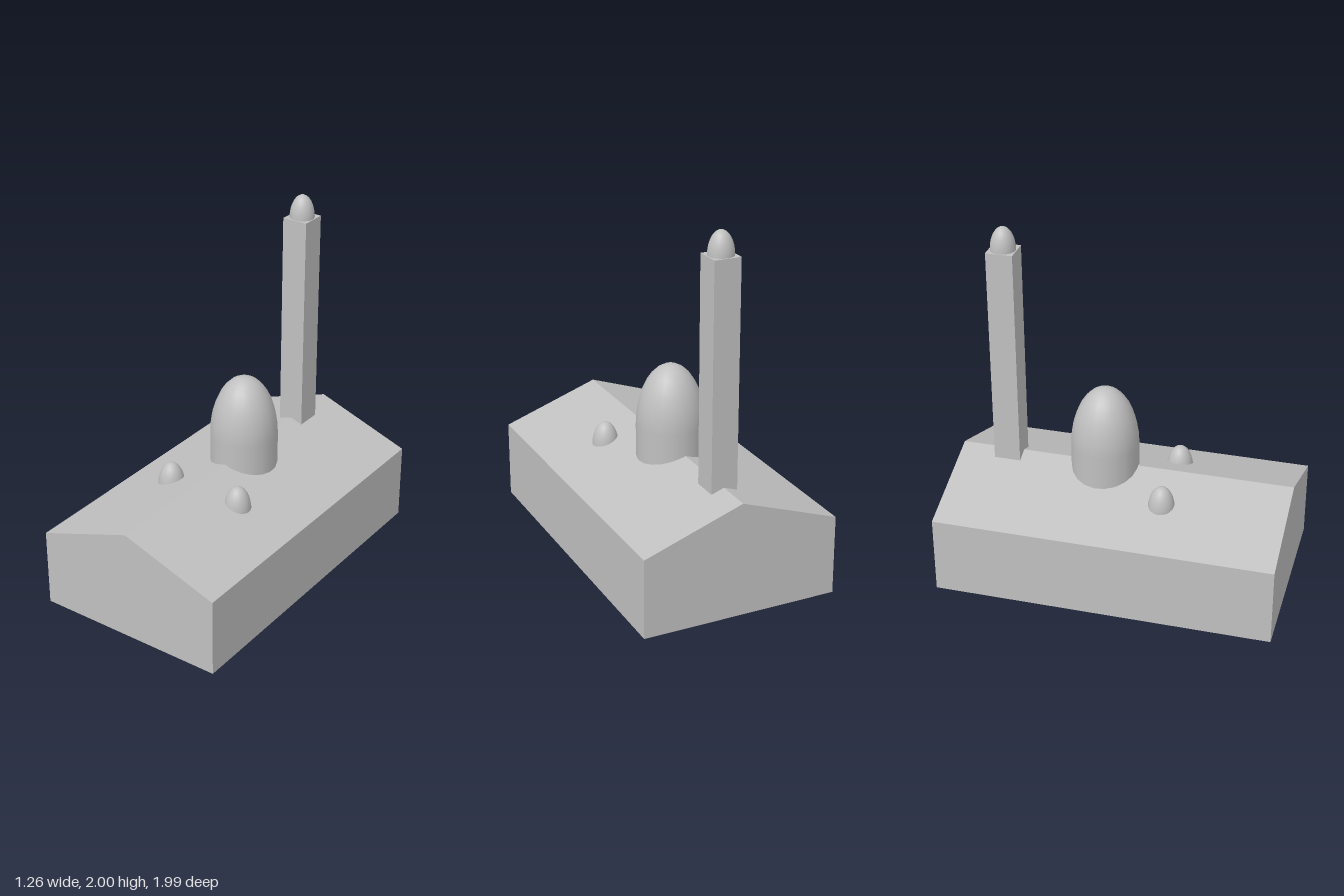
import * as THREE from 'three';

const stone = new THREE.MeshStandardMaterial({ color: 0xc0c0c0, side: THREE.DoubleSide });
stone.name = 'pale grey stone';

const TURN = 0.078;   // the whole building is turned a little about y
const W = 0.555, L = 0.953, EAVE = 0.445, RIDGE = 0.64;
const SEGMENTS = 20;

function add(parent, name, geometry, x = 0, y = 0, z = 0) {
  const mesh = new THREE.Mesh(geometry, stone);
  mesh.name = name;
  mesh.position.set(x, y, z);
  parent.add(mesh);
  return mesh;
}

// Flat strip running the length of the hall between two profile points
function strip([x0, y0], [x1, y1]) {
  const a = [x0, y0, L], b = [x1, y1, L], c = [x1, y1, -L], d = [x0, y0, -L];
  const g = new THREE.BufferGeometry();
  g.setAttribute('position', new THREE.Float32BufferAttribute([a, b, c, a, c, d].flat(), 3));
  g.computeVertexNormals();
  return g;
}

// Gabled hall, open underneath
function hall() {
  const group = new THREE.Group();
  group.name = 'hall';
  const profile = [[W, 0], [W, EAVE], [0, RIDGE], [-W, EAVE], [-W, 0]];
  const names = ['leftWall', 'leftRoof', 'rightRoof', 'rightWall'];
  names.forEach((name, i) => add(group, name, strip(profile[i + 1], profile[i]).scale(1, 1, 1)));
  // Wind every strip outward
  group.children.forEach((m) => {
    const p = m.geometry.attributes.position, n = m.geometry.attributes.normal;
    if (n.getX(0) * p.getX(0) + n.getY(0) + n.getX(0) * p.getX(1) < 0) {
      m.geometry.setIndex([0, 2, 1, 3, 5, 4]);
      m.geometry.computeVertexNormals();
    }
  });
  const gable = new THREE.ShapeGeometry(new THREE.Shape(profile.map((p) => new THREE.Vector2(...p))));
  add(group, 'frontGable', gable, 0, 0, L);
  add(group, 'backGable', gable, 0, 0, -L).rotation.y = Math.PI;
  return group;
}

// Tall half ellipsoid standing on y = 0
function domeGeometry(radius, height) {
  return new THREE.SphereGeometry(1, SEGMENTS, 8, 0, Math.PI * 2, 0, Math.PI / 2)
    .scale(radius, height, radius);
}

// Closed drum rising from eave height with a dome on it
function domedDrum(name, x, z, radius, spring, top) {
  const group = new THREE.Group();
  group.name = name;
  group.position.set(x, 0, z);
  const h = spring - EAVE;
  add(group, 'drum', new THREE.CylinderGeometry(radius, radius, h, SEGMENTS), 0, EAVE + h / 2, 0);
  add(group, 'dome', domeGeometry(radius, top - spring), 0, spring, 0);
  return group;
}

// Square tower from the ground up, open below, with a small dome on top
function tower(x, z) {
  const group = new THREE.Group();
  group.name = 'tower';
  group.position.set(x, 0, z);
  const size = 0.15, height = 1.87;
  const box = new THREE.BoxGeometry(size, height, size);
  const index = Array.from(box.index.array);
  index.splice(18, 6); // drop the underside
  box.setIndex(index);
  box.clearGroups();
  add(group, 'shaft', box, 0, height / 2, 0).rotation.y = TURN;
  add(group, 'towerDome', domeGeometry(0.07, 0.13), 0, height, 0);
  return group;
}

export function createModel() {
  const model = new THREE.Group();
  model.name = 'domedHall';
  const body = hall();
  body.rotation.y = TURN;
  model.add(
    body,
    domedDrum('mainDome', -0.01, -0.115, 0.19, 0.765, 1.11),
    domedDrum('rightSmallDome', -0.205, 0.28, 0.075, 0.53, 0.667),
    domedDrum('leftSmallDome', 0.243, 0.245, 0.075, 0.53, 0.667),
    tower(-0.055, -0.668),
  );
  return model;
}
